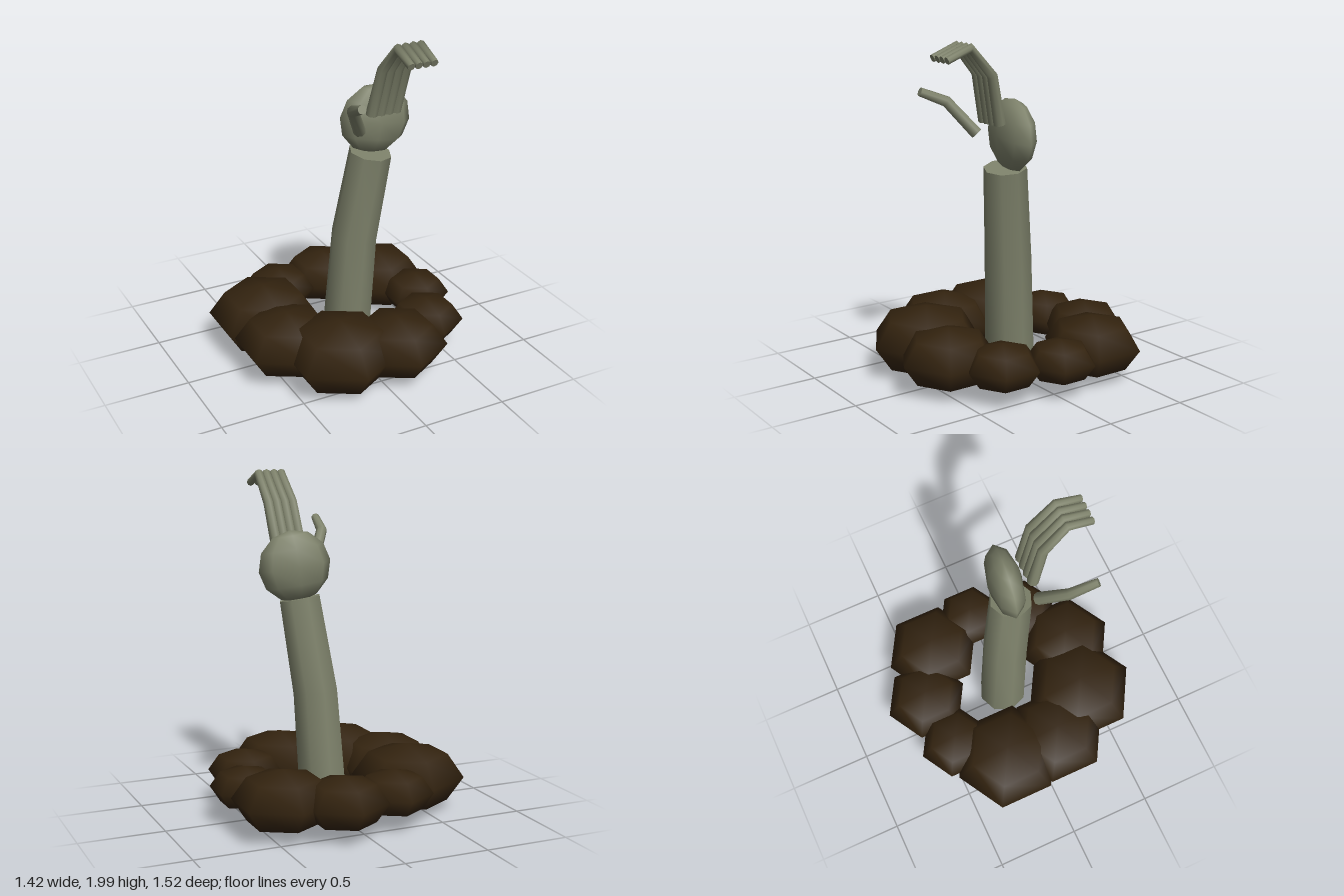
import * as THREE from 'three';

const flesh = new THREE.MeshStandardMaterial({ name: 'grey green flesh', color: 0x7e826b });
const earth = new THREE.MeshStandardMaterial({ name: 'dark brown earth', color: 0x33230f });

// Tapered limb: smooth rings along a path, with flat capped ends
function limb(name, path, radii, sides = 8) {
  const pts = path.map((p) => new THREE.Vector3(...p));
  const last = pts.length - 1;
  const pos = [], index = [];
  pts.forEach((p, i) => {
    const t = new THREE.Vector3();
    if (i > 0) t.add(p.clone().sub(pts[i - 1]).normalize());
    if (i < last) t.add(pts[i + 1].clone().sub(p).normalize());
    t.normalize();
    const u = new THREE.Vector3(1, 0, 0).addScaledVector(t, -t.x).normalize();
    const v = t.clone().cross(u);
    for (let j = 0; j < sides; j++) {
      const a = (j / sides) * Math.PI * 2;
      const q = p.clone().addScaledVector(u, Math.cos(a) * radii[i]).addScaledVector(v, Math.sin(a) * radii[i]);
      pos.push(q.x, q.y, q.z);
    }
  });
  for (let i = 0; i < last; i++) {
    for (let j = 0; j < sides; j++) {
      const k = (j + 1) % sides;
      const a = i * sides + j, b = i * sides + k;
      index.push(a, b, a + sides, b, b + sides, a + sides);
    }
  }
  // Caps use their own vertices so the rim stays sharp
  for (const ring of [0, last]) {
    const start = pos.length / 3;
    for (let j = 0; j < sides; j++) {
      const o = (ring * sides + j) * 3;
      pos.push(pos[o], pos[o + 1], pos[o + 2]);
    }
    for (let j = 1; j < sides - 1; j++) {
      if (ring) index.push(start, start + j, start + j + 1);
      else index.push(start, start + j + 1, start + j);
    }
  }
  const geo = new THREE.BufferGeometry();
  geo.setAttribute('position', new THREE.Float32BufferAttribute(pos, 3));
  geo.setIndex(index);
  geo.computeVertexNormals();
  const mesh = new THREE.Mesh(geo, flesh);
  mesh.name = name;
  return mesh;
}

export function createModel() {
  const model = new THREE.Group();
  model.name = 'handRisingFromGround';

  // Ring of flattened six-sided earth clods: x, z, radius
  const clods = [
    [-0.427, -0.198, 0.331], [-0.208, -0.456, 0.224], [0.127, -0.51, 0.255],
    [0.418, -0.337, 0.296], [0.528, -0.024, 0.208], [0.414, 0.292, 0.224],
    [0.119, 0.462, 0.294], [-0.216, 0.4, 0.343], [-0.43, 0.141, 0.308],
  ];
  const ring = new THREE.Group();
  ring.name = 'earthMound';
  const clodGeo = new THREE.SphereGeometry(1, 6, 4).rotateY(Math.PI / 6);
  for (const [x, z, r] of clods) {
    const clod = new THREE.Mesh(clodGeo, earth);
    clod.name = 'earthClod';
    clod.position.set(x, 0.21, z);
    clod.scale.set(r, r * 0.6, r);
    ring.add(clod);
  }
  model.add(ring);

  // Forearm
  model.add(limb('forearm',
    [[0.036, 0.03, -0.02], [0.073, 0.73, 0.018], [0.14, 1.267, 0.085]],
    [0.148, 0.137, 0.125]));

  // Palm
  const palm = new THREE.Mesh(new THREE.SphereGeometry(1, 8, 6), flesh);
  palm.name = 'palm';
  palm.position.set(0.178, 1.457, 0.065);
  palm.scale.set(0.216, 0.208, 0.1);
  palm.rotation.set(0, -0.1, -0.14);
  model.add(palm);

  // Four curled fingers side by side
  for (let i = 0; i < 4; i++) {
    model.add(limb('finger', [
      [0.086 + i * 0.05, 1.535, 0.19],
      [0.114 + i * 0.05, 1.81, 0.257],
      [0.126 + i * 0.047, 1.968, 0.398],
      [0.124 + i * 0.047, 1.91, 0.545],
    ], [0.034, 0.03, 0.027, 0.022]));
  }

  // Thumb
  model.add(limb('thumb',
    [[0.012, 1.45, 0.19], [-0.1, 1.63, 0.318], [-0.127, 1.695, 0.475]],
    [0.036, 0.032, 0.025]));

  return model;
}
